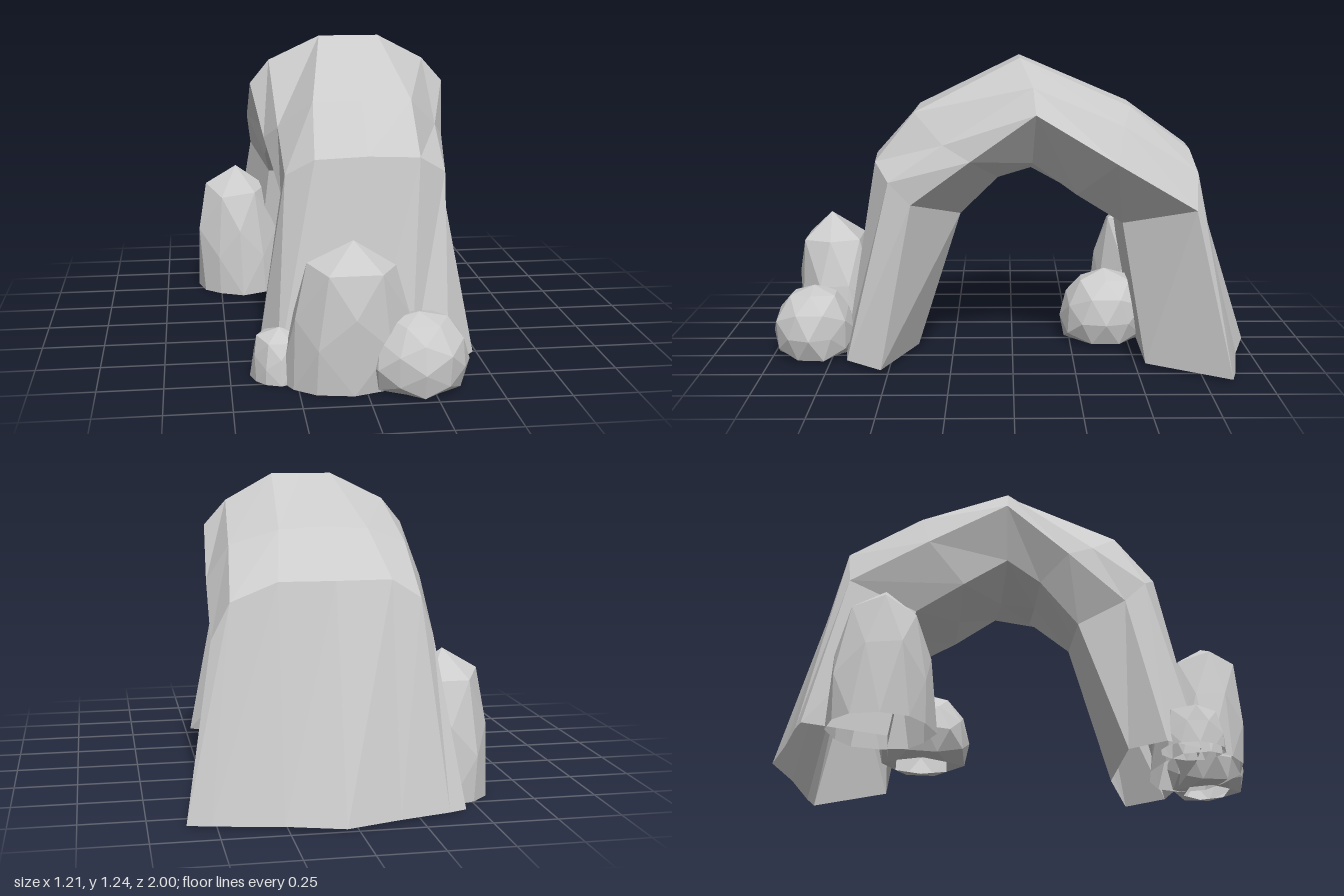
import * as THREE from 'three';

const material = new THREE.MeshStandardMaterial({ color: 0xcccccc, flatShading: true, side: THREE.DoubleSide });

// Cross-sections from the front foot over the crown to the back foot.
// Each: crest, shoulder, side, underside as [xLeft, xRight, y, z], then crest and underside mid offsets [dy, dz].
const STATIONS = [
  [[-0.15, 0.2, 0.01, 0.7], [-0.32, 0.35, 0.01, 0.68], [-0.39, 0.48, 0.01, 0.53], [-0.28, 0.12, 0.01, 0.4], [0, 0], [0, 0]],
  [[-0.16, 0.25, 0.82, 0.56], [-0.27, 0.36, 0.75, 0.5], [-0.28, 0.37, 0.66, 0.41], [-0.22, 0.06, 0.57, 0.22], [0.01, 0.01], [0, 0]],
  [[-0.15, 0.24, 1.02, 0.4], [-0.28, 0.36, 0.9, 0.28], [-0.33, 0.41, 0.84, 0.17], [-0.25, 0.15, 0.74, 0.06], [0, 0], [-0.02, 0]],
  [[-0.08, 0.17, 1.235, -0.03], [-0.29, 0.37, 1.13, -0.08], [-0.37, 0.46, 1.03, -0.09], [-0.28, 0.3, 0.82, -0.08], [0, 0], [-0.06, 0]],
  [[-0.14, 0.21, 1.04, -0.48], [-0.3, 0.4, 0.98, -0.44], [-0.37, 0.485, 0.84, -0.41], [-0.3, 0.3, 0.69, -0.26], [0.01, 0], [-0.03, 0]],
  [[-0.18, 0.25, 0.87, -0.72], [-0.29, 0.43, 0.8, -0.73], [-0.34, 0.5, 0.66, -0.72], [-0.27, 0.28, 0.57, -0.45], [0, -0.01], [0, 0]],
  [[-0.17, 0.26, 0.01, -0.935], [-0.37, 0.52, 0.01, -0.885], [-0.44, 0.61, 0.01, -0.86], [-0.33, 0.4, 0.01, -0.54], [0, -0.065], [0, 0]],
];

// Expands one station into a closed ring of ten points.
function ring([crest, shoulder, side, under, topMid, lowMid]) {
  const left = ([l, , y, z]) => [l, y, z];
  const right = ([, r, y, z]) => [r, y, z];
  const mid = ([l, r, y, z], [dy, dz]) => [(l + r) / 2, y + dy, z + dz];
  return [
    right(crest), mid(crest, topMid), left(crest), left(shoulder), left(side),
    left(under), mid(under, lowMid), right(under), right(side), right(shoulder),
  ];
}

// Shell of the arch, open under both feet
function archGeometry() {
  const rings = STATIONS.map(ring);
  const n = rings[0].length;
  const index = [];
  for (let i = 0; i < rings.length - 1; i++) {
    for (let j = 0; j < n; j++) {
      const a = i * n + j, b = i * n + (j + 1) % n;
      index.push(a, a + n, b, b, a + n, b + n);
    }
  }
  const geometry = new THREE.BufferGeometry();
  geometry.setAttribute('position', new THREE.Float32BufferAttribute(rings.flat(2), 3));
  geometry.setIndex(index);
  geometry.computeVertexNormals();
  return geometry;
}

// Repeatable value in -1..1 for a direction, so shared corners stay together.
function hash(v, seed) {
  const s = Math.sin(Math.round(v.x * 100) * 12.99 + Math.round(v.y * 100) * 78.23 + Math.round(v.z * 100) * 37.72 + seed * 9.17) * 437.58;
  return (s - Math.floor(s)) * 2 - 1;
}

// Faceted boulder, open at the ground. waist: height of its widest level,
// power: below 1 gives steeper sides, lean: x and z shift of the top.
function boulder(name, [x, z], [rx, rz], height, { waist = 0, power = 1, lean = [0, 0], seed }) {
  const p = new THREE.IcosahedronGeometry(1, 1).attributes.position;
  const v = new THREE.Vector3();
  const corners = [];
  for (let i = 0; i < p.count; i++) {
    v.fromBufferAttribute(p, i);
    const jitter = 1 + 0.05 * hash(v, seed);
    const spread = jitter * Math.max(Math.hypot(v.x, v.z), 0.01) ** (power - 1);
    const rise = v.y > 0 ? (height - waist) * Math.min(jitter, 1) : waist * 1.8;
    const y = Math.max(0, waist + v.y * rise);
    corners.push([v.x * spread * rx + lean[0] * y / height, y, v.z * spread * rz + lean[1] * y / height]);
  }
  // Keep only the faces that rise above the ground
  const positions = [];
  for (let i = 0; i < corners.length; i += 3) {
    const face = corners.slice(i, i + 3);
    if (face.some((c) => c[1] > 0.001)) positions.push(...face.flat());
  }
  const geometry = new THREE.BufferGeometry();
  geometry.setAttribute('position', new THREE.Float32BufferAttribute(positions, 3));
  geometry.computeVertexNormals();
  const mesh = new THREE.Mesh(geometry, material);
  mesh.name = name;
  mesh.position.set(x, 0, z);
  return mesh;
}

export function createModel() {
  const group = new THREE.Group();
  group.name = 'rockArch';

  const arch = new THREE.Mesh(archGeometry(), material);
  arch.name = 'arch';
  group.add(arch);

  // Boulders at the front foot
  group.add(boulder('frontLargeBoulder', [-0.05, 0.72], [0.26, 0.19], 0.56, { power: 0.65, lean: [0.01, 0.06], seed: 1 }));
  group.add(boulder('frontRoundBoulder', [0.2, 0.83], [0.19, 0.17], 0.3, { waist: 0.1, power: 0.9, seed: 2 }));
  group.add(boulder('frontSmallBoulder', [-0.31, 0.65], [0.11, 0.13], 0.19, { power: 0.4, seed: 3 }));

  // Boulders at the back foot
  group.add(boulder('backTallBoulder', [-0.4, -0.57], [0.21, 0.21], 0.58, { power: 0.65, lean: [-0.02, 0], seed: 4 }));
  group.add(boulder('backInnerBoulder', [-0.02, -0.4], [0.19, 0.19], 0.31, { waist: 0.1, power: 0.9, seed: 5 }));

  return group;
}
